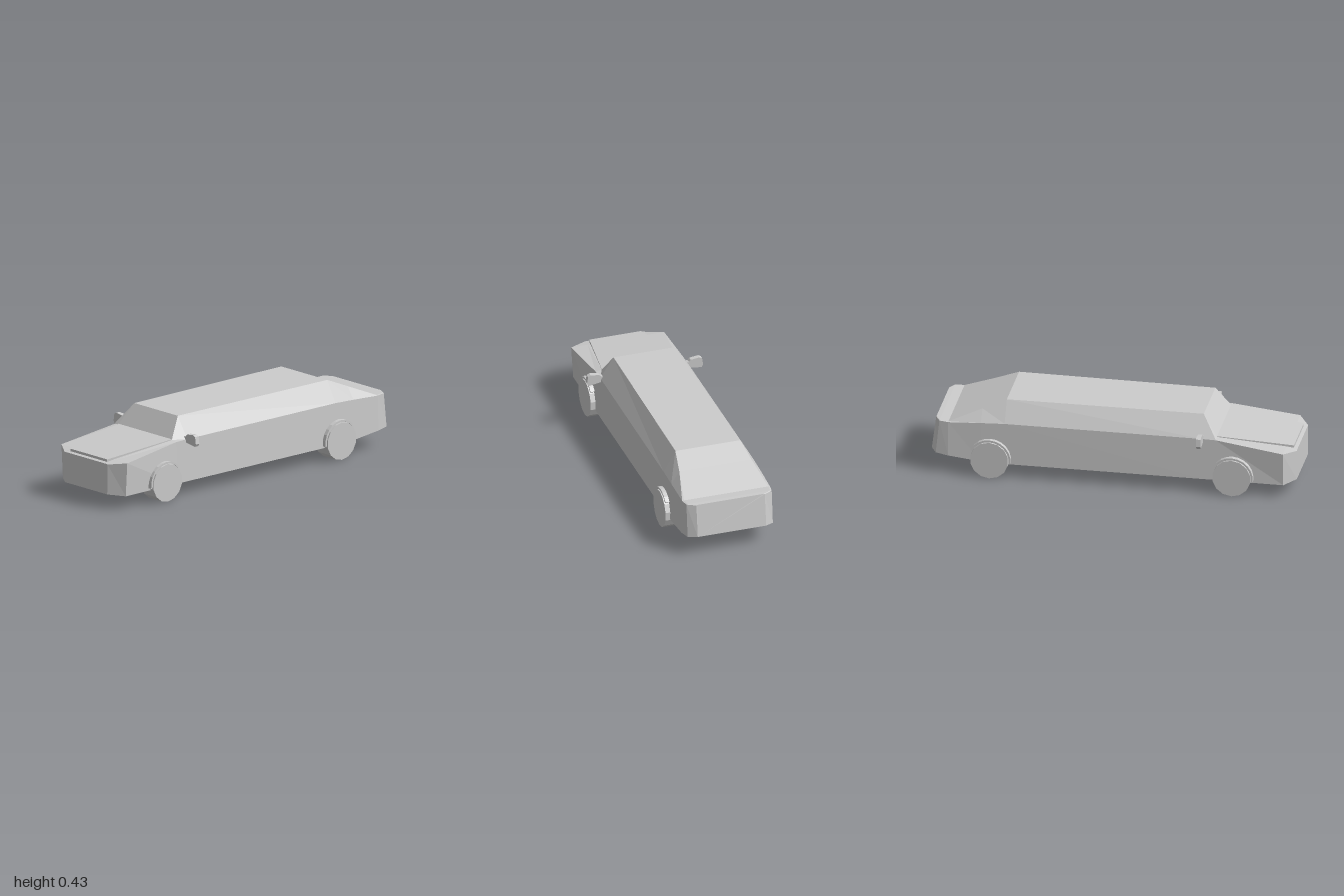
import * as THREE from 'three';

const material = new THREE.MeshStandardMaterial({ color: 0xcccccc, flatShading: true, side: THREE.DoubleSide });

function addMesh(parent, name, geometry) {
  const mesh = new THREE.Mesh(geometry, material);
  mesh.name = name;
  parent.add(mesh);
  return mesh;
}

// Skins mirrored half-sections, ordered front to back; each point is [x, y, z], bottom to top.
function loft(stations) {
  const rings = stations.map(half => [...half, ...half.map(([x, y, z]) => [-x, y, z]).reverse()]);
  const n = rings[0].length;
  const index = [];
  for (let i = 0; i < rings.length - 1; i++) {
    for (let j = 0; j < n; j++) {
      const a = i * n + j, b = i * n + (j + 1) % n;
      index.push(a, a + n, b, b, a + n, b + n);
    }
  }
  const last = (rings.length - 1) * n;
  for (let j = 1; j < n - 1; j++) {
    index.push(0, j, j + 1, last, last + j + 1, last + j);
  }
  const geometry = new THREE.BufferGeometry();
  geometry.setAttribute('position', new THREE.Float32BufferAttribute(rings.flat(2), 3));
  geometry.setIndex(index);
  const flat = geometry.toNonIndexed();
  flat.computeVertexNormals();
  return flat;
}

// Station at one z: sill, belt line and upper edge
const station = (z, ...points) => points.map(([x, y]) => [x, y, z]);

// Thin arc over a wheel, low at the front and cut short at the back
function archGeometry() {
  const shape = new THREE.Shape();
  const from = -0.12, to = 2.4, steps = 9;
  for (let i = 0; i <= steps; i++) {
    const a = from + (to - from) * i / steps;
    const p = [Math.cos(a) * 0.117, Math.sin(a) * 0.117];
    if (i === 0) shape.moveTo(...p); else shape.lineTo(...p);
  }
  for (let i = steps; i >= 0; i--) {
    const a = from + (to - from) * i / steps;
    shape.lineTo(Math.cos(a) * 0.106, Math.sin(a) * 0.106);
  }
  const geometry = new THREE.ExtrudeGeometry(shape, { depth: 0.04, bevelEnabled: false });
  // shape x becomes +z, thickness lies along x
  return geometry.translate(0, 0, -0.02).rotateY(-Math.PI / 2);
}

function mirrorGeometry(side) {
  const outline = [[0.225, 0.31], [0.235, 0.327], [0.25, 0.33], [0.26, 0.342], [0.31, 0.348],
    [0.325, 0.34], [0.331, 0.3], [0.322, 0.285], [0.257, 0.295]];
  const shape = new THREE.Shape(outline.map(([x, y]) => new THREE.Vector2(x * side, y)));
  return new THREE.ExtrudeGeometry(shape, { depth: 0.026, bevelEnabled: false }).translate(0, 0, 0.474);
}

export function createModel() {
  const car = new THREE.Group();
  car.name = 'limousine';

  // Body from nose to tail, with chamfered corners at both ends
  addMesh(car, 'body', loft([
    station(1, [0.17, 0.08], [0.172, 0.248], [0.165, 0.25]),
    station(0.94, [0.253, 0.075], [0.265, 0.262], [0.17, 0.262]),
    station(0.57, [0.256, 0.078], [0.25, 0.31], [0.215, 0.315]),
    station(0.49, [0.256, 0.078], [0.25, 0.312], [0.175, 0.428]),
    station(-0.59, [0.256, 0.08], [0.252, 0.315], [0.185, 0.432]),
    station(-0.72, [0.256, 0.085], [0.252, 0.31], [0.206, 0.377]),
    station(-0.9, [0.255, 0.105], [0.25, 0.3], [0.24, 0.302]),
    [[0.243, 0.113, -0.97], [0.243, 0.303, -0.95], [0.235, 0.305, -0.95]],
    [[0.195, 0.12, -1], [0.195, 0.303, -0.976], [0.19, 0.305, -0.975]],
  ]));

  // Raised hood panel
  addMesh(car, 'hoodPanel', loft([
    station(0.98, [0.148, 0.24], [0.148, 0.268]),
    station(0.57, [0.215, 0.29], [0.215, 0.319]),
  ]));

  // Wheels and arches; the right rear wheel sits slightly further back
  const wheel = new THREE.CylinderGeometry(0.105, 0.105, 0.1, 14).rotateZ(Math.PI / 2).rotateX(Math.PI / 14);
  const arch = archGeometry();
  for (const side of [1, -1]) {
    const label = side > 0 ? 'left' : 'right';
    const axles = { Front: 0.66, Rear: side > 0 ? -0.61 : -0.67 };
    for (const [axle, z] of Object.entries(axles)) {
      addMesh(car, `${label}${axle}Wheel`, wheel).position.set(side * 0.232, 0.105, z);
      addMesh(car, `${label}${axle}Arch`, arch).position.set(side * 0.257, 0.105, z);
    }
    addMesh(car, `${label}Mirror`, mirrorGeometry(side));
  }
  return car;
}
